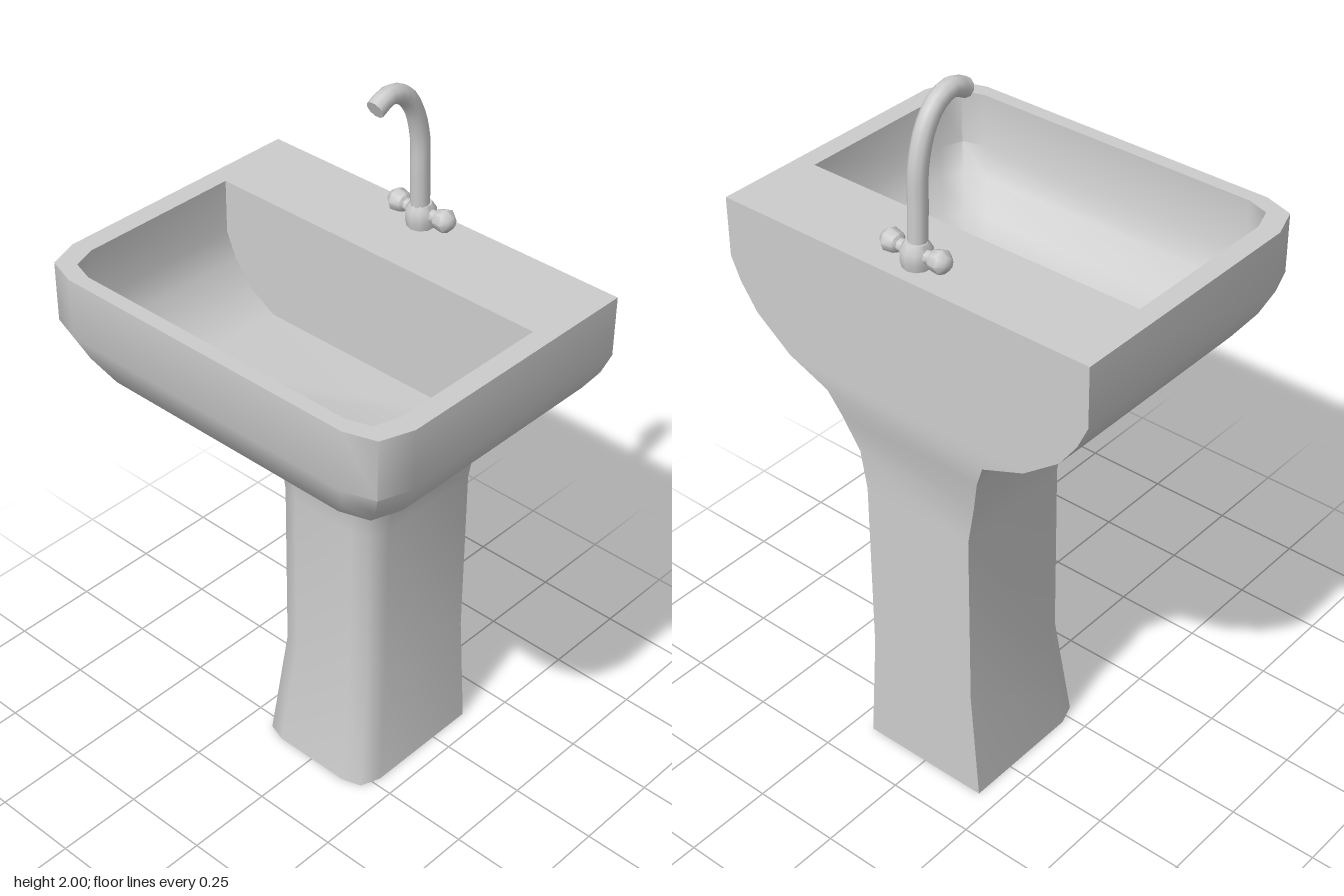
import * as THREE from 'three';
import { toCreasedNormals } from 'three/addons/utils/BufferGeometryUtils.js';

const material = new THREE.MeshStandardMaterial({ color: 0xcccccc });

// Outline with a square back and rounded front corners of size c
function ring([y, w, zb, zf, c]) {
  const half = [[w, zb], [w, zf - c], [w - 0.27 * c, zf - 0.24 * c], [w - c, zf]];
  const mirrored = half.map(([x, z]) => [-x, z]).reverse();
  return [...half, ...mirrored].map(([x, z]) => new THREE.Vector3(x, y, z));
}

// Skin through a stack of outlines; capStart / capEnd close the first / last one
function loft(levels, { capStart = false, capEnd = false }) {
  const rings = levels.map(ring);
  const n = rings[0].length;
  const index = [];
  for (let j = 0; j < rings.length - 1; j++) {
    for (let i = 0; i < n; i++) {
      const a = j * n + i, b = j * n + (i + 1) % n;
      index.push(a, a + n, b + n, a, b + n, b);
    }
  }
  const last = (rings.length - 1) * n;
  for (let i = 1; i < n - 1; i++) {
    if (capStart) index.push(0, i, i + 1);
    if (capEnd) index.push(last, last + i + 1, last + i);
  }
  const g = new THREE.BufferGeometry().setFromPoints(rings.flat());
  g.setIndex(index);
  return toCreasedNormals(g, 1.0);
}

const lathe = (points, sides) =>
  toCreasedNormals(new THREE.LatheGeometry(points.map(([r, y]) => new THREE.Vector2(r, y)), sides), 0.9);

export function createModel() {
  const model = new THREE.Group();
  const add = (name, geometry, parent = model) => {
    const mesh = new THREE.Mesh(geometry, material);
    mesh.name = name;
    parent.add(mesh);
    return mesh;
  };

  // Pedestal flowing into the outside of the basin: y, half width, back z, front z, corner
  const outerRim = [1.57, 0.56, -0.42, 0.418, 0.115];
  add('pedestalAndBasin', loft([
    [0, 0.192, -0.38, 0.05, 0.075],
    [0.33, 0.168, -0.38, 0.005, 0.07],
    [0.85, 0.168, -0.38, 0.005, 0.07],
    [0.96, 0.187, -0.38, 0.005, 0.07],
    [1.07, 0.22, -0.405, 0.06, 0.075],
    [1.14, 0.25, -0.42, 0.13, 0.08],
    [1.19, 0.375, -0.42, 0.255, 0.09],
    [1.27, 0.48, -0.42, 0.35, 0.105],
    [1.34, 0.53, -0.42, 0.39, 0.11],
    [1.405, 0.56, -0.42, 0.418, 0.115],
    outerRim,
  ], { capStart: true }));

  // Bowl inside, from the rim down to the floor
  const innerRim = [1.57, 0.505, -0.17, 0.378, 0.085];
  add('bowl', loft([
    innerRim,
    [1.42, 0.505, -0.17, 0.378, 0.085],
    [1.35, 0.475, -0.17, 0.345, 0.085],
    [1.28, 0.42, -0.17, 0.285, 0.08],
    [1.235, 0.34, -0.17, 0.2, 0.07],
  ], { capEnd: true }));

  // Flat top with the bowl opening
  const flat = (level) => ring(level).map((p) => new THREE.Vector2(p.x, -p.z));
  const top = new THREE.Shape(flat(outerRim));
  top.holes.push(new THREE.Path(flat(innerRim)));
  add('rim', new THREE.ShapeGeometry(top).rotateX(-Math.PI / 2).translate(0, 1.57, 0));

  const tap = new THREE.Group();
  tap.name = 'tap';
  model.add(tap);

  // Tap body
  add('tapBody', lathe([[0.036, 0], [0.041, 0.02], [0.04, 0.045], [0.028, 0.065], [0, 0.068]], 10), tap)
    .position.set(0, 1.57, -0.352);

  // Curved spout
  const path = new THREE.CatmullRomCurve3([
    [1.61, -0.348], [1.72, -0.344], [1.83, -0.338], [1.915, -0.31],
    [1.962, -0.27], [1.977, -0.22], [1.957, -0.175],
  ].map(([y, z]) => new THREE.Vector3(0, y, z)));
  add('spout', new THREE.TubeGeometry(path, 18, 0.025, 10), tap);
  const outlet = add('spoutEnd', new THREE.CircleGeometry(0.025, 10), tap);
  outlet.position.copy(path.getPoint(1));
  outlet.lookAt(path.getPoint(1).add(path.getTangent(1)));

  // Side arms with faceted knobs
  for (const side of [-1, 1]) {
    const arm = add(side > 0 ? 'leftHandle' : 'rightHandle', lathe([
      [0.024, 0], [0.018, 0.035], [0.017, 0.05], [0.026, 0.055],
      [0.031, 0.083], [0.016, 0.1], [0, 0.104],
    ], 8), tap);
    arm.position.set(0, 1.604, -0.354);
    arm.rotation.z = -side * (Math.PI / 2 - 0.08);
  }

  return model;
}
